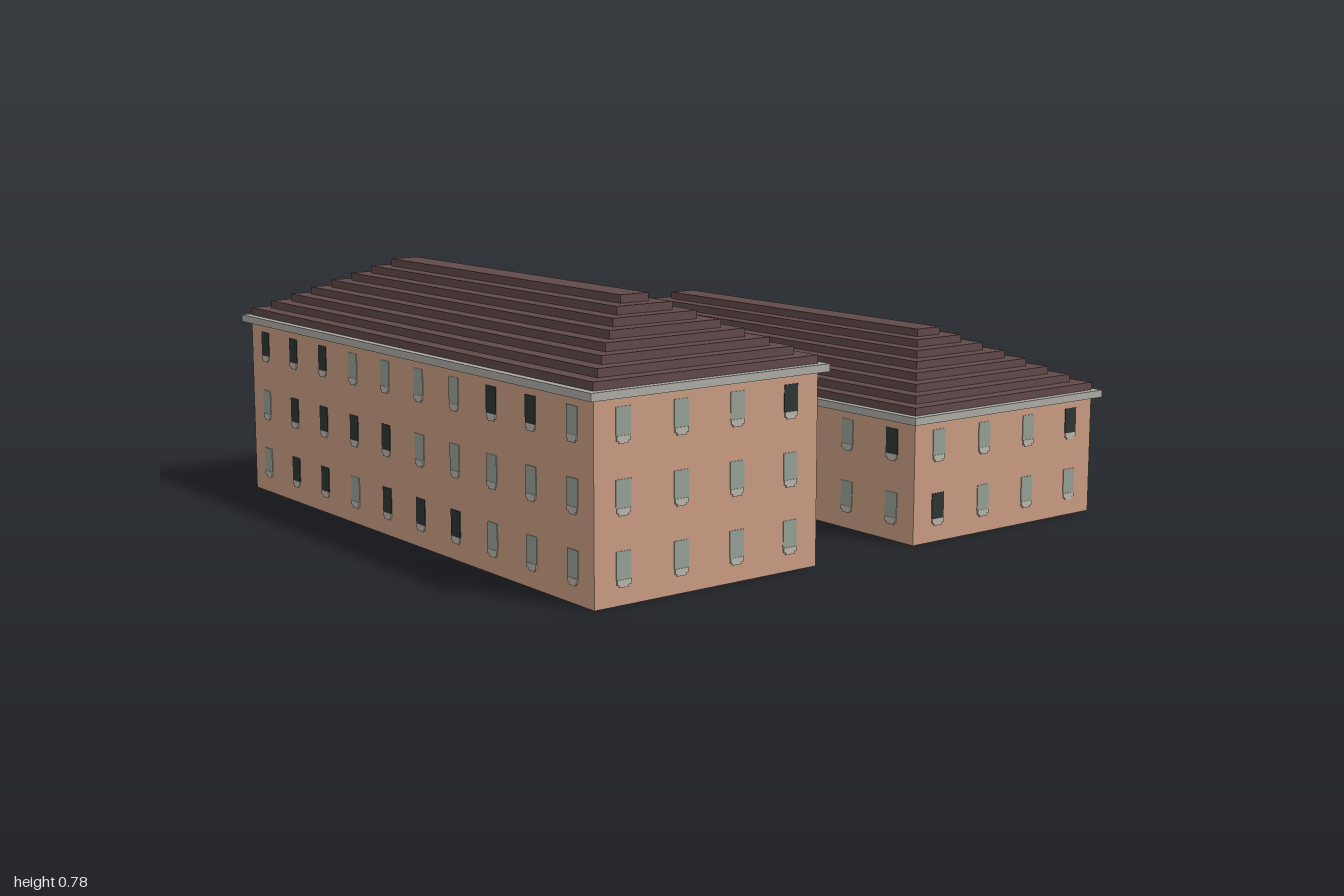
import * as THREE from 'three';

const mat = (name, color) => {
  const m = new THREE.MeshStandardMaterial({ color });
  m.name = name;
  return m;
};

export function createModel() {
  const wall = mat('terracotta wall', 0xc99b82);
  const roof = mat('dark brown roof', 0x614949);
  const trim = mat('grey stone trim', 0xabaaa4);
  const sill = mat('pale sill', 0xb9b5aa);
  const glass = mat('grey green glass', 0x95a094);
  const dark = mat('dark glass', 0x2d3435);

  const model = new THREE.Group();
  model.name = 'courtyardBuilding';

  // Box given by its minimum and maximum corners
  const block = (parent, name, m, x0, x1, y0, y1, z0, z1) => {
    const mesh = new THREE.Mesh(new THREE.BoxGeometry(x1 - x0, y1 - y0, z1 - z0), m);
    mesh.position.set((x0 + x1) / 2, (y0 + y1) / 2, (z0 + z1) / 2);
    mesh.name = name;
    parent.add(mesh);
  };

  // Thin plate lying on a wall that faces the direction given by angle
  const plate = (parent, name, m, w, h, d, x, y, z, angle) => {
    const mesh = new THREE.Mesh(new THREE.BoxGeometry(w, h, d), m);
    mesh.position.set(x, y, z);
    mesh.rotation.y = angle;
    mesh.name = name;
    parent.add(mesh);
  };

  const addWindow = (parent, x, y, z, angle, isDark) => {
    plate(parent, 'windowPane', isDark ? dark : glass, 0.05, 0.078, 0.004, x, y, z, angle);
    plate(parent, 'windowSill', sill, 0.046, 0.014, 0.007, x, y - 0.046, z, angle);
    plate(parent, 'sillBracket', sill, 0.032, 0.008, 0.006, x, y - 0.056, z, angle);
  };

  // Seeded choice of dark panes
  let seed = 7;
  const random = () => (seed = (seed * 16807) % 2147483647) / 2147483647;

  const STEP = 0.0488, LAYER = 0.0243, HALF = 0.976;
  const ROWS = [0.11, 0.305, 0.5];
  const LINK = { x0: -0.586, x1: 0.195, z: 0.195 };

  // Wing: walls, cornice, stepped hip roof and windows on all four sides
  const addWing = (name, side, height, floors, darkOuter, darkRight) => {
    const wing = new THREE.Group();
    wing.name = name;
    const z0 = side > 0 ? 0.195 : -HALF;
    const z1 = side > 0 ? HALF : -0.195;
    block(wing, 'walls', wall, -HALF, HALF, 0, height, z0, z1);
    block(wing, 'cornice', trim, -1, 1, height, height + 0.023, z0 - 0.024, z1 + 0.024);
    for (let i = 0; i < 8; i++) {
      const y = height + 0.023 + i * LAYER, s = i * STEP;
      block(wing, 'roofStep', roof, -HALF + s, HALF - s, y, y + LAYER, z0 + s, z1 - s);
    }
    for (let r = 0; r < floors; r++) {
      for (let c = 0; c < 10; c++) {
        const x = -0.88 + c * 0.1955;
        addWindow(wing, x, ROWS[r], side * HALF, side > 0 ? 0 : Math.PI, darkOuter[r].includes(c));
        // Courtyard side, leaving out windows covered by the link
        const covered = r < 2 && x > LINK.x0 && x < LINK.x1;
        if (!covered) addWindow(wing, x, ROWS[r], side * 0.195, side > 0 ? Math.PI : 0, random() < 0.3);
      }
      for (let c = 0; c < 4; c++) {
        const z = side * (0.295 + c * 0.195);
        addWindow(wing, HALF, ROWS[r], z, Math.PI / 2, darkRight[r].includes(c));
        addWindow(wing, -HALF, ROWS[r], z, -Math.PI / 2, random() < 0.25);
      }
    }
    model.add(wing);
  };

  addWing('frontWing', 1, 0.565, 3,
    [[1, 2, 4, 5, 6], [1, 2, 3, 4], [0, 1, 2, 7, 8]], [[], [], [0]]);
  addWing('backWing', -1, 0.37, 2,
    [[2, 5, 7], [2, 5, 6, 8]], [[0], [3]]);

  // Link between the wings, with a stepped gable at each end
  const link = new THREE.Group();
  link.name = 'link';
  const edges = [0.195, 0.146, 0.098, 0.049, 0];
  const tops = [0.415, 0.435, 0.456, 0.478];
  for (let i = 0; i < 4; i++) {
    for (const s of [1, -1]) {
      const za = Math.min(s * edges[i], s * edges[i + 1]);
      const zb = Math.max(s * edges[i], s * edges[i + 1]);
      const top = tops[i];
      block(link, 'linkWall', wall, LINK.x0, LINK.x1, 0, top - 0.024, za, zb);
      block(link, 'linkRoof', roof, LINK.x0 + 0.005, LINK.x1 - 0.005, top - 0.024, top - 0.006, za, zb);
      for (const x of [LINK.x0 - 0.006, LINK.x1 + 0.006]) {
        block(link, 'gableTrim', trim, x - 0.012, x + 0.012, top - 0.024, top, za, zb);
      }
    }
  }
  for (const [x, angle] of [[LINK.x0, -Math.PI / 2], [LINK.x1, Math.PI / 2]]) {
    plate(link, 'door', roof, 0.1, 0.148, 0.006, x, 0.074, 0, angle);
    for (const z of [-0.098, 0.098]) addWindow(link, x, ROWS[1], z, angle, false);
  }
  model.add(link);

  return model;
}
